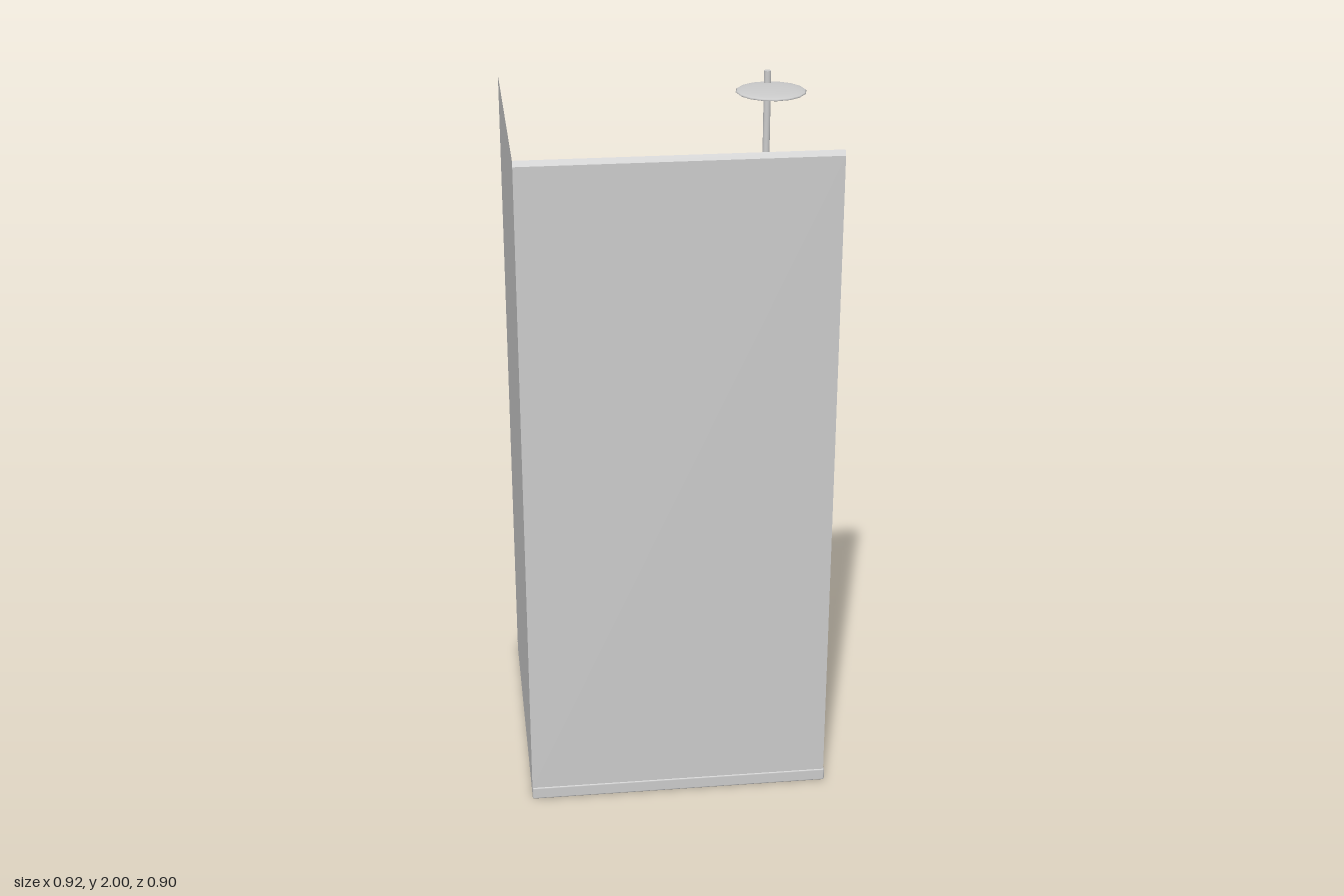
import * as THREE from 'three';
import { RoundedBoxGeometry } from 'three/addons/geometries/RoundedBoxGeometry.js';

// Shower cabin: tray, two thin wall panels, riser pipe and rain head
export function createModel() {
  const model = new THREE.Group();
  model.name = 'showerCabin';

  const grey = new THREE.MeshStandardMaterial({ color: 0xcccccc });
  grey.name = 'light grey';
  grey.side = THREE.DoubleSide;

  const add = (name, geometry, x, y, z) => {
    const mesh = new THREE.Mesh(geometry, grey);
    mesh.name = name;
    mesh.position.set(x, y, z);
    model.add(mesh);
    return mesh;
  };

  const left = -0.463, right = 0.431, depth = 0.448, trayTop = 0.04;
  const midX = (left + right) / 2;

  // Floor tray with small bevelled edges
  add('tray', new RoundedBoxGeometry(right - left, trayTop, depth * 2, 1, 0.005), midX, trayTop / 2, 0);

  // Front panel, with a narrow lip leaning inward along its top
  const width = 0.89, lipY = 1.985, wallZ = 0.447, lipDepth = 0.009;
  const wallX = left + width / 2;
  add('frontPanel', new THREE.PlaneGeometry(width, lipY - trayTop), wallX, (lipY + trayTop) / 2, wallZ);
  const lipHeight = 2 - lipY;
  const lip = add('frontPanelLip', new THREE.PlaneGeometry(width, Math.hypot(lipHeight, lipDepth)),
    wallX, (lipY + 2) / 2, wallZ - lipDepth / 2);
  lip.rotation.x = -Math.atan2(lipDepth, lipHeight);

  // Side panel
  const side = add('sidePanel', new THREE.PlaneGeometry(width, 2 - trayTop), left, 1 + trayTop / 2, wallZ - width / 2);
  side.rotation.y = -Math.PI / 2;

  // Riser pipe and flattened shower head
  add('riserPipe', new THREE.CylinderGeometry(0.011, 0.011, 1, 16), 0.353, 1.5, -0.402);
  const head = add('showerHead', new THREE.SphereGeometry(0.108, 16, 12), 0.353, 1.954, -0.333);
  head.scale.y = 0.1;

  return model;
}
